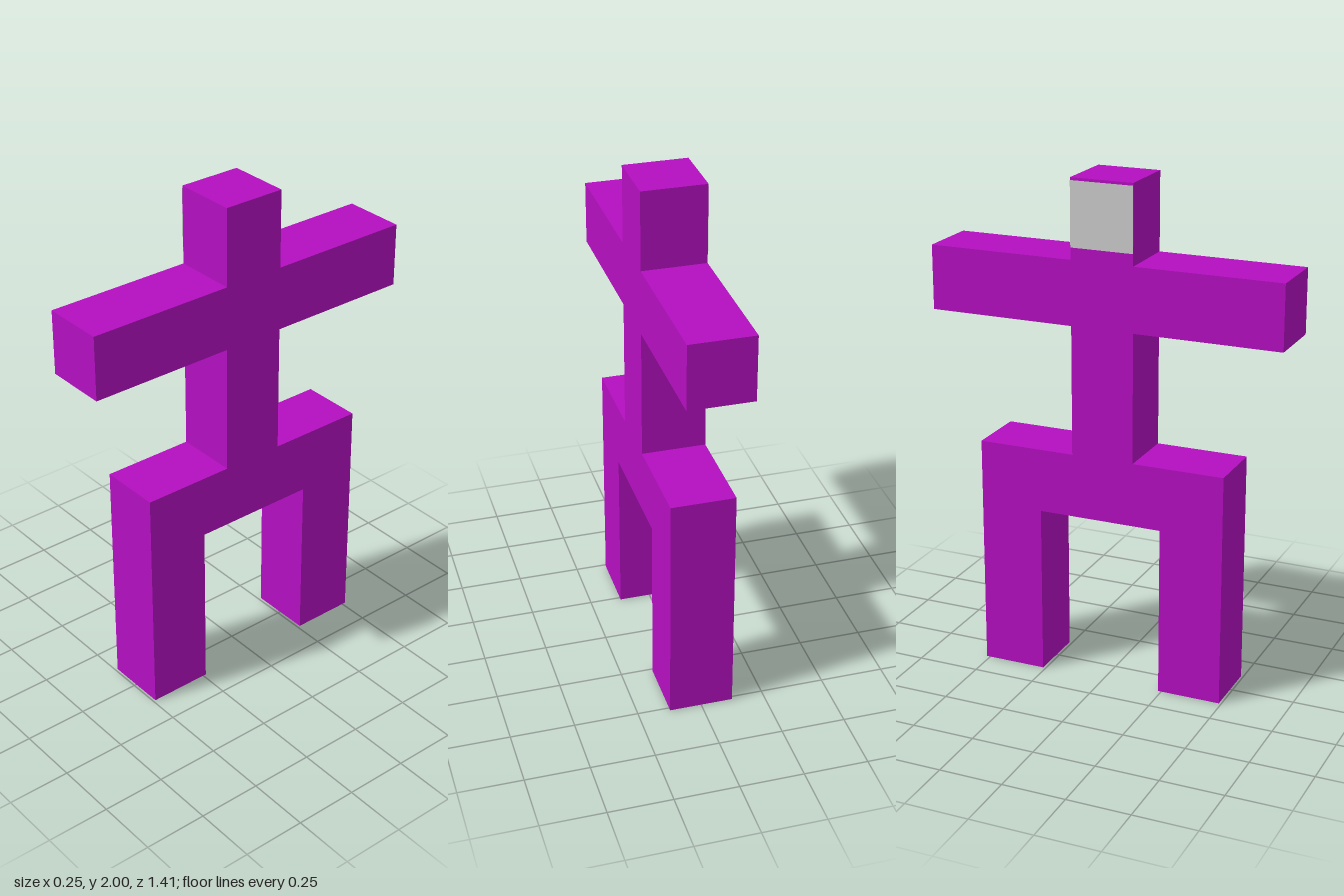
import * as THREE from 'three';

const THICK = 0.25;

export function createModel() {
  const model = new THREE.Group();
  model.name = 'blockFigure';

  // One-piece figure: side silhouette (z, y) extruded across x
  const outline = [
    [0.49, 0], [0.49, 0.93], [0.125, 0.93],            // front leg, hip
    [0.125, 1.44], [0.706, 1.44], [0.706, 1.693],      // torso, front arm
    [0.125, 1.693], [0.125, 2], [-0.125, 2],           // head
    [-0.125, 1.693], [-0.706, 1.693], [-0.706, 1.44],  // back arm
    [-0.125, 1.44], [-0.125, 0.93], [-0.515, 0.93],    // torso, hip
    [-0.515, 0], [-0.262, 0], [-0.262, 0.677],         // back leg
    [0.237, 0.677], [0.237, 0],                        // crotch, front leg
  ];
  // Shape x is -z, so turning it by +90 degrees about y puts the depth along x
  const shape = new THREE.Shape(outline.map(([z, y]) => new THREE.Vector2(-z, y)));
  const geometry = new THREE.ExtrudeGeometry(shape, { depth: THICK, bevelEnabled: false });
  geometry.translate(0, 0, -THICK / 2).rotateY(Math.PI / 2);
  const body = new THREE.Mesh(
    geometry,
    new THREE.MeshStandardMaterial({ color: 0xb40fc0 })
  );
  body.name = 'body';
  model.add(body);

  // Thin face plate on the -x side of the head
  const face = new THREE.Mesh(
    new THREE.PlaneGeometry(0.25, 0.25),
    new THREE.MeshStandardMaterial({ color: 0xcccccc, side: THREE.DoubleSide })
  );
  face.name = 'facePlate';
  face.rotation.y = -Math.PI / 2;
  face.position.set(-THICK / 2 - 0.002, 1.865, 0);
  model.add(face);

  return model;
}
